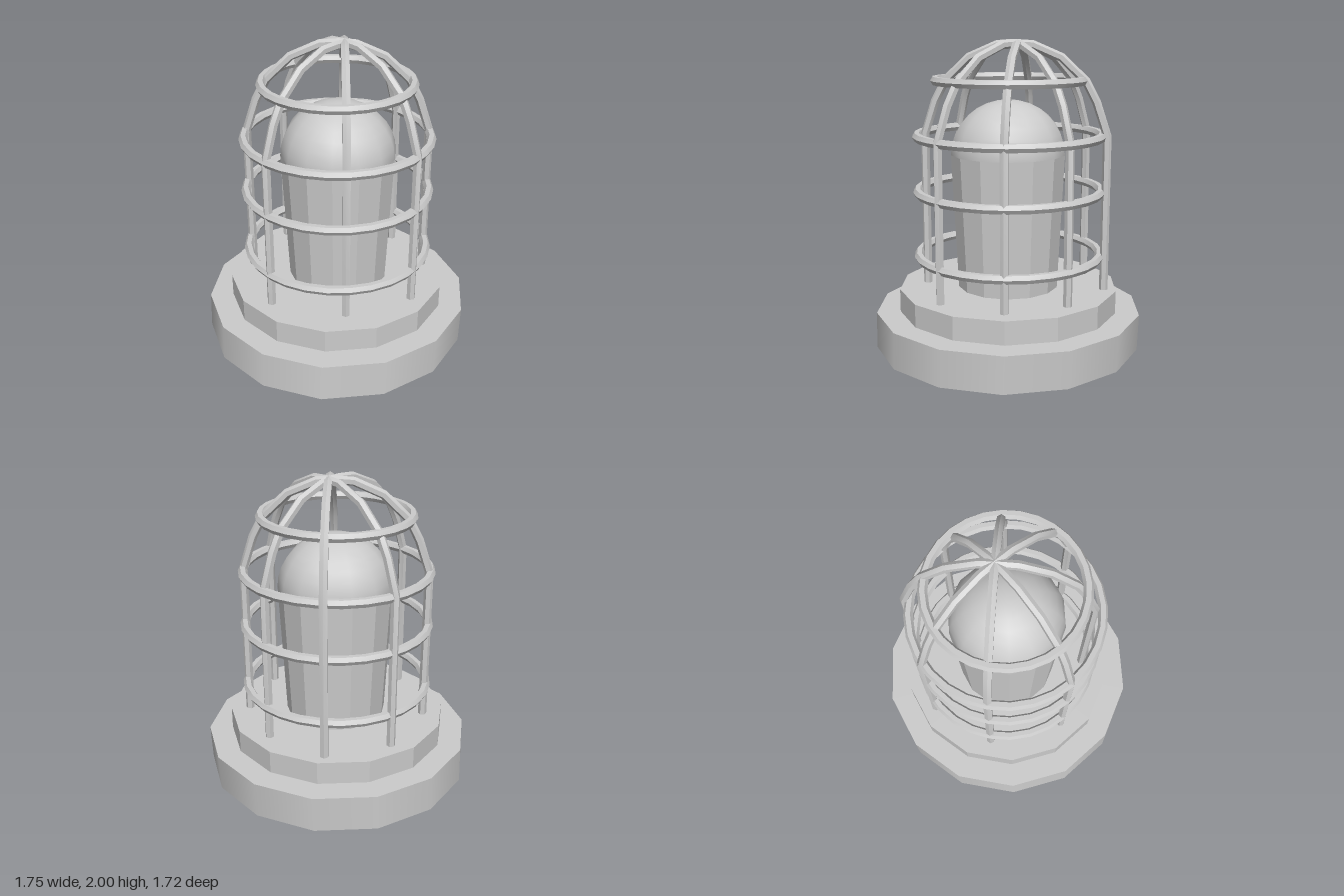
import * as THREE from 'three';
import { toCreasedNormals } from 'three/addons/utils/BufferGeometryUtils.js';

const SIDES = 14;
const BAR_SIDES = 6;
const BAR_RADIUS = 0.028;

// Half of a cage bar: [fraction of the half span, height], from foot to crown
const BAR_PROFILE = [[1, 0.36], [1, 1.4], [0.88, 1.61], [0.765, 1.74], [0.5, 1.888], [0.19, 1.966]];

// A bar standing on foot a, arching over the crown and down to foot b
function barGeometry([ax, az], [bx, bz]) {
  const mid = new THREE.Vector3((ax + bx) / 2, 0, (az + bz) / 2);
  const half = new THREE.Vector3((ax - bx) / 2, 0, (az - bz) / 2);
  const across = new THREE.Vector3(0, 1, 0).cross(half).normalize();
  const profile = [
    ...BAR_PROFILE,
    [0, 1.972],
    ...BAR_PROFILE.map(([s, y]) => [-s, y]).reverse(),
  ];
  const points = profile.map(([s, y]) => mid.clone().addScaledVector(half, s).setY(y));
  const positions = [];
  const indices = [];
  points.forEach((p, i) => {
    const before = points[Math.max(i - 1, 0)];
    const after = points[Math.min(i + 1, points.length - 1)];
    const tangent = after.clone().sub(before).normalize();
    const out = new THREE.Vector3().crossVectors(across, tangent);
    for (let j = 0; j < BAR_SIDES; j++) {
      const a = (j / BAR_SIDES) * Math.PI * 2;
      const v = p.clone()
        .addScaledVector(out, Math.cos(a) * BAR_RADIUS)
        .addScaledVector(across, Math.sin(a) * BAR_RADIUS);
      positions.push(v.x, v.y, v.z);
      if (i === points.length - 1) continue;
      const k = i * BAR_SIDES;
      const next = (j + 1) % BAR_SIDES;
      const [q, r, s, t] = [k + j, k + next, k + BAR_SIDES + j, k + BAR_SIDES + next];
      // out x across runs against the tangent
      indices.push(q, s, r, r, s, t);
    }
  });
  const geometry = new THREE.BufferGeometry();
  geometry.setAttribute('position', new THREE.Float32BufferAttribute(positions, 3));
  geometry.setIndex(indices);
  // Turn the faces outward whichever way the bar runs
  const v = (i) => new THREE.Vector3().fromArray(positions, i * 3);
  const [i0, i1, i2] = indices;
  const normal = v(i1).sub(v(i0)).cross(v(i2).sub(v(i0)));
  const centre = v(i0).add(v(i1)).add(v(i2)).divideScalar(3);
  centre.sub(points[0]).setY(0);
  if (normal.dot(centre) < 0) geometry.setIndex(indices.reverse());
  return toCreasedNormals(geometry, 0.75);
}

export function createModel() {
  const model = new THREE.Group();
  model.name = 'cagedLamp';
  const smooth = new THREE.MeshStandardMaterial({ color: 0xcccccc });
  const flat = new THREE.MeshStandardMaterial({ color: 0xcccccc, flatShading: true });

  const add = (name, geometry, material, parent = model) => {
    const mesh = new THREE.Mesh(geometry, material);
    mesh.name = name;
    parent.add(mesh);
    return mesh;
  };
  // Cylinder with a corner on the x axis, standing between two heights
  const drum = (top, bottom, y0, y1) =>
    new THREE.CylinderGeometry(top, bottom, y1 - y0, SIDES)
      .rotateY(Math.PI / 2)
      .translate(0, (y0 + y1) / 2, 0);

  // Two-step base; the lower step leans slightly backward
  const plate = drum(0.877, 0.877, 0, 0.24);
  plate.applyMatrix4(new THREE.Matrix4().set(
    1, 0, 0, 0,
    0, 1, 0, 0,
    0, -0.045, 1, 0.005,
    0, 0, 0, 1,
  ));
  add('basePlate', plate, smooth);
  add('baseStep', drum(0.722, 0.722, 0.22, 0.39), flat).position.z = -0.005;

  // Tapered glass with a domed top
  const glass = new THREE.Group();
  glass.name = 'glass';
  glass.position.set(0.005, 0, -0.012);
  model.add(glass);
  add('glassBody', drum(0.374, 0.33, 0.36, 1.27), flat, glass);
  const dome = new THREE.SphereGeometry(0.374, SIDES, 8, 0, Math.PI * 2, 0, Math.PI / 2)
    .scale(1, 0.35 / 0.374, 1)
    .translate(0, 1.27, 0);
  add('glassDome', dome, smooth, glass);

  // Wire cage: horizontal hoops and four bars crossing over the top
  const cage = new THREE.Group();
  cage.name = 'cage';
  model.add(cage);
  for (const [radius, y] of [[0.597, 0.605], [0.597, 1.03], [0.597, 1.39], [0.475, 1.743]]) {
    const hoop = new THREE.TorusGeometry(radius, 0.03, BAR_SIDES, 28).rotateX(Math.PI / 2);
    add('cageHoop', toCreasedNormals(hoop, 0.75), smooth, cage).position.set(-0.004, y, -0.012);
  }
  const feet = [
    [[-0.603, -0.09], [0.59, -0.09]],
    [[-0.013, -0.595], [-0.013, 0.582]],
    [[-0.42, -0.485], [0.415, 0.34]],
    [[0.375, -0.465], [-0.465, 0.35]],
  ];
  for (const [a, b] of feet) add('cageBar', barGeometry(a, b), smooth, cage);

  return model;
}
